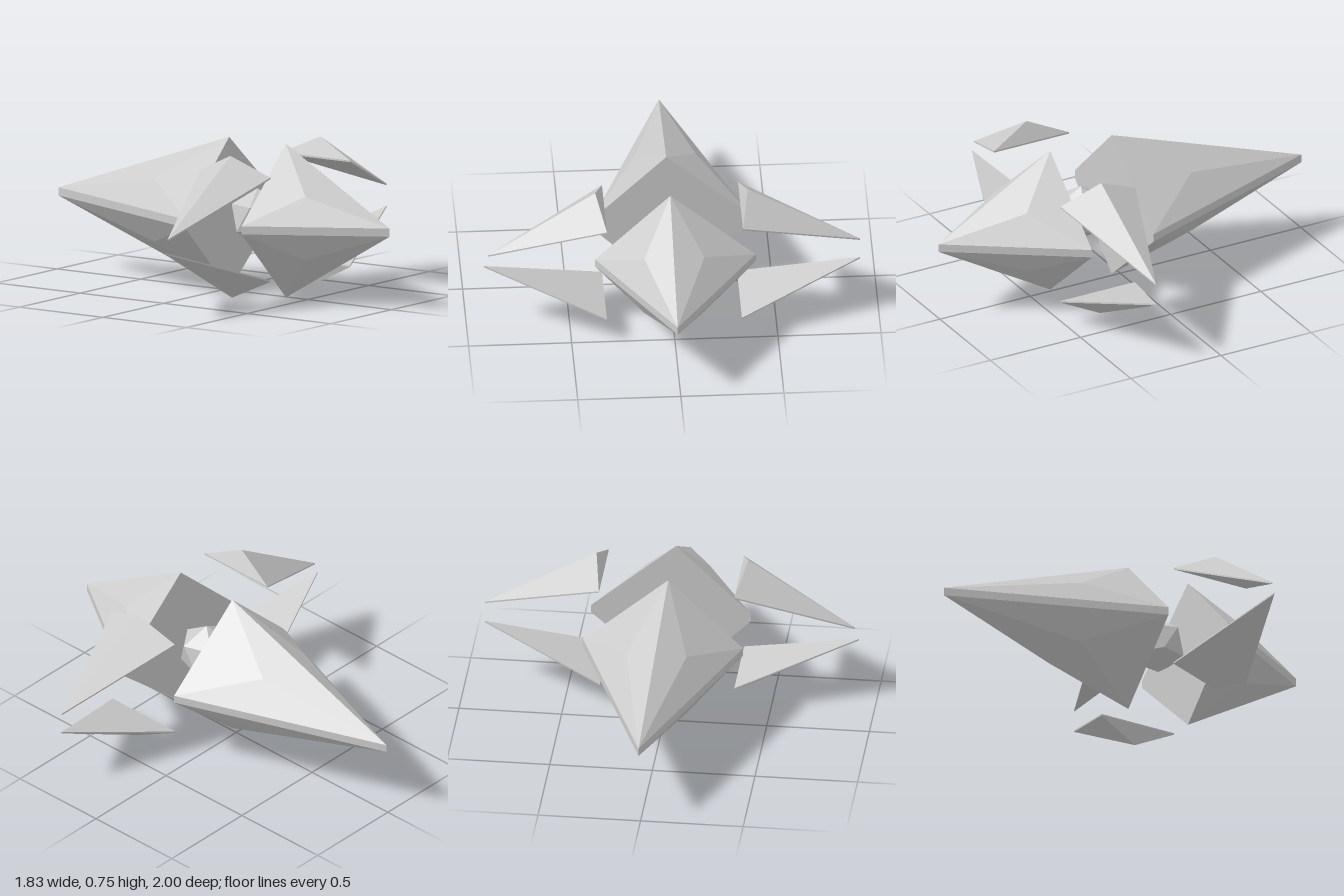
import * as THREE from 'three';
import { ConvexGeometry } from 'three/addons/geometries/ConvexGeometry.js';

const V = (x, y, z) => new THREE.Vector3(x, y, z);
const material = new THREE.MeshStandardMaterial({ color: 0xcccccc, flatShading: true });

function addMesh(group, name, geometry) {
  const mesh = new THREE.Mesh(geometry, material);
  mesh.name = name;
  group.add(mesh);
  return mesh;
}

// Middle of a triangle, lifted away from the inside point
function raisedMiddle(a, b, c, inside, lift) {
  const normal = new THREE.Triangle(a, b, c).getNormal(new THREE.Vector3());
  const middle = a.clone().add(b).add(c).divideScalar(3);
  if (normal.dot(middle.clone().sub(inside)) < 0) normal.negate();
  return middle.addScaledVector(normal, lift);
}

// Pointed shell: flat diamond base, narrow belt, four slightly domed faces
function shell(baseZ, tipX, tipZ) {
  const inside = V(0, 0.38, baseZ + (tipZ - baseZ) * 0.1);
  const points = [];
  for (const [peakY, beltY] of [[0.755, 0.4], [0, 0.36]]) {
    const peak = V(-0.015, peakY, baseZ);
    const tip = V(tipX, beltY, tipZ);
    points.push(peak, tip);
    for (const x of [-0.38, 0.4]) {
      const corner = V(x, beltY, baseZ);
      points.push(corner, raisedMiddle(peak, corner, tip, inside, 0.025));
    }
  }
  return new ConvexGeometry(points);
}

// Side blade: thin triangular plate with a ridge on its outer face
function blade(edge, ridge, tip) {
  const lip = Math.sign(edge[1] - ridge[1]) * 0.008;
  const points = [V(ridge[0], ridge[1], 0.31)];
  for (const dy of [0, lip]) {
    points.push(
      V(edge[0], edge[1] + dy, 0.515),
      V(edge[0], edge[1] + dy, 0.1),
      V(tip[0], tip[1] + dy, 0.31)
    );
  }
  return new ConvexGeometry(points);
}

export function createModel() {
  const model = new THREE.Group();
  model.name = 'spikedCraft';

  // Hull halves
  addMesh(model, 'frontShell', shell(0.38, -0.015, 1));
  addMesh(model, 'rearShell', shell(0.04, 0.01, -1));

  // Core held in the gap, with one corner pointing up
  const core = new THREE.IcosahedronGeometry(0.14, 0);
  core.rotateX(-Math.atan((1 + Math.sqrt(5)) / 2));
  addMesh(model, 'core', core).position.set(-0.015, 0.38, 0.21);

  // Floating blades: inner edge, ridge and tip as x, y
  const blades = {
    upperLeftBlade: [[0.33, 0.638], [0.365, 0.732], [0.91, 0.425]],
    upperRightBlade: [[-0.33, 0.645], [-0.375, 0.738], [-0.895, 0.397]],
    lowerLeftBlade: [[0.325, 0.115], [0.355, 0.02], [0.91, 0.31]],
    lowerRightBlade: [[-0.33, 0.133], [-0.362, 0.04], [-0.915, 0.328]],
  };
  for (const [name, [edge, ridge, tip]] of Object.entries(blades)) {
    addMesh(model, name, blade(edge, ridge, tip));
  }
  return model;
}
